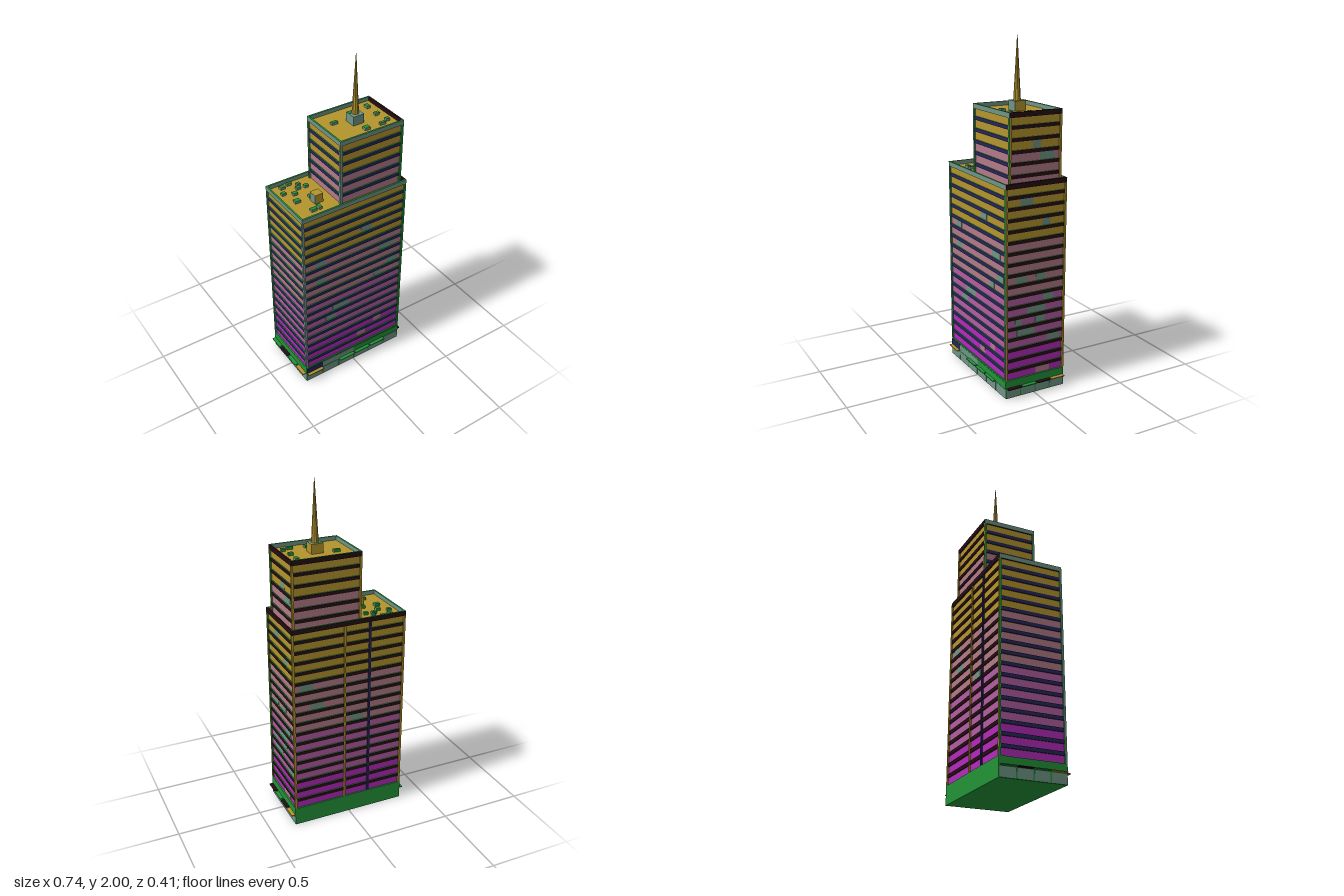
import * as THREE from 'three';

const mat = (name, color) => Object.assign(new THREE.MeshStandardMaterial({ color }), { name });
const gold = mat('gold', 0xb3942d);
const magenta = mat('magenta', 0xb22bba);
const orchid = mat('orchid', 0xb25ca2);
const rose = mat('rose', 0xb27a87);
const teal = mat('teal', 0x6f9586);
const green = mat('green', 0x239238);
const navy = mat('navy', 0x25255a);
const dark = mat('dark', 0x240d12);

// Box given by its limits on each axis
function box(parent, name, material, x0, x1, y0, y1, z0, z1) {
  const mesh = new THREE.Mesh(new THREE.BoxGeometry(x1 - x0, y1 - y0, z1 - z0), material);
  mesh.position.set((x0 + x1) / 2, (y0 + y1) / 2, (z0 + z1) / 2);
  mesh.name = name;
  parent.add(mesh);
  return mesh;
}

// Face order: +x, -x, +y, -y, +z, -z
const ledgeMats = [dark, navy, green, dark, navy, dark];
const FLOOR = 0.0628;
const INSET = 0.009;
const DECK = 0.02;

// One tower block: glass floors, ledges, corner posts, deck and parapet
function tower(name, x0, x1, z0, z1, y0, y1, glassOf, floors) {
  const g = new THREE.Group();
  g.name = name;
  const h = (y1 - y0) / floors;
  for (let i = 0; i < floors; i++) {
    const y = y0 + i * h;
    const top = i === floors - 1 ? y1 - DECK : y + h;
    box(g, 'floorGlass', glassOf(i), x0 + INSET, x1 - INSET, y, top, z0 + INSET, z1 - INSET);
    if (i < floors - 1) {
      box(g, 'floorLedge', ledgeMats, x0 + 0.003, x1 - 0.003, y + h - 0.021, y + h, z0 + 0.003, z1 - 0.003);
    }
  }
  // Corner posts
  const w = 0.012;
  for (const [px, pz, m] of [
    [x0, z0, [gold, green, green, dark, teal, gold]],
    [x1 - w, z0, gold],
    [x0, z1 - w, [green, teal, green, dark, teal, green]],
    [x1 - w, z1 - w, [gold, green, green, dark, green, green]],
  ]) box(g, 'cornerPost', m, px, px + w, y0, y1 - 0.024, pz, pz + w);

  // Roof deck
  box(g, 'roofDeck', gold, x0 + INSET, x1 - INSET, y1 - DECK - 0.003, y1 - DECK, z0 + INSET, z1 - INSET);
  // Parapet walls around the deck
  const t = 0.01, b = y1 - 0.024, c = y1 + 0.004;
  box(g, 'parapetFront', [dark, teal, green, dark, teal, teal], x0, x1, b, c, z1 - t, z1);
  box(g, 'parapetBack', [dark, teal, green, dark, teal, dark], x0, x1, b, c, z0, z0 + t);
  box(g, 'parapetRight', [teal, teal, green, dark, teal, dark], x0, x0 + t, b, c, z0 + t, z1 - t);
  box(g, 'parapetLeft', [dark, dark, dark, dark, teal, dark], x1 - t, x1, b, c, z0 + t, z1 - t);
  return g;
}

// Contrasting panes on the front (axis x) or left side (axis z)
function panes(parent, list, axis, face, y0, h) {
  for (const [a, floor, width, m = teal] of list) {
    const y = y0 + floor * h, p = a - width / 2, q = a + width / 2;
    if (axis === 'x') box(parent, 'pane', m, p, q, y + 0.002, y + h - 0.021, face, face + 0.002);
    else box(parent, 'pane', m, face - 0.001, face + 0.001, y + 0.002, y + h - 0.021, p, q);
  }
}

// Small rooftop units as [x, z, width, depth]
function roofUnits(parent, list, y) {
  for (const [x, z, w, d] of list) {
    box(parent, 'roofUnit', [teal, teal, green, green, teal, green],
      x - w / 2, x + w / 2, y, y + 0.016, z - d / 2, z + d / 2);
  }
}

export function createModel() {
  const model = new THREE.Group();
  model.name = 'skyscraper';
  const X = 0.347, ZB = -0.2, ZF = 0.185, Y0 = 0.11, Y1 = 1.24, Y2 = 1.617;

  // Main and upper towers
  const mainGlass = (i) => (i < 3 ? magenta : i < 8 ? orchid : i < 13 ? rose : gold);
  const main = tower('mainTower', -X, X, ZB, ZF, Y0, Y1, mainGlass, 18);
  const upper = tower('upperTower', -0.082, 0.33, -0.172, 0.155, Y1 - DECK, Y2, (i) => (i < 3 ? rose : gold), 6);
  model.add(main, upper);

  // Odd-coloured panes
  panes(main, [[0.08, 14, 0.07], [-0.23, 12, 0.06], [0.225, 11, 0.09], [-0.23, 10, 0.06],
    [0.27, 9, 0.08], [0.175, 8, 0.05], [-0.09, 6, 0.12], [-0.165, 5, 0.07],
    [0.18, 2, 0.055, rose], [0.06, 1, 0.06, rose]], 'x', ZF - INSET, Y0, FLOOR);
  panes(main, [[0.05, 16, 0.08], [-0.075, 14, 0.05], [0.085, 9, 0.07], [-0.04, 9, 0.06],
    [-0.095, 7, 0.07], [-0.015, 6, 0.12], [0.1, 5, 0.04], [-0.04, 5, 0.06], [0.05, 4, 0.12],
    [-0.13, 3, 0.08], [-0.06, 0, 0.09, rose]], 'z', X - INSET, Y0, FLOOR);
  const uh = (Y2 - Y1 + DECK) / 6;
  panes(upper, [[-0.02, 3, 0.05], [-0.085, 2, 0.09]], 'z', 0.33 - INSET, Y1 - DECK, uh);
  for (const [x, floor] of [[0.26, 12], [0.2, 10], [-0.05, 8]]) {
    const y = Y0 + floor * FLOOR;
    box(main, 'backPane', teal, x - 0.04, x + 0.04, y + 0.002, y + 0.041, ZB + INSET - 0.002, ZB + INSET);
  }

  // Vertical strips on the back
  box(main, 'backStrip', gold, 0.024, 0.034, Y0, Y1 - 0.024, ZB, ZB + INSET);
  box(main, 'backStrip', navy, -0.132, -0.12, Y0, Y1 - 0.024, ZB, ZB + INSET);

  // Ground floor: green core, coloured front fascia, shop windows and dividers
  const base = new THREE.Group();
  base.name = 'groundFloor';
  model.add(base);
  box(base, 'baseBlock', green, -X, X, 0, Y0, ZB, ZF - 0.002);
  for (const [x0, x1, m] of [[-X, -0.23, navy], [-0.23, 0, teal], [0, X, green]]) {
    box(base, 'frontFascia', m, x0, x1, 0.062, Y0 - 0.008, ZF - 0.002, ZF);
  }
  const bay = (2 * X) / 6, sideBay = (ZF - ZB) / 4;
  for (let i = 0; i < 6; i++) {
    const x = -X + i * bay;
    box(base, 'shopWindow', teal, x + 0.004, x + bay - 0.004, 0.003, 0.058, ZF - 0.002, ZF);
  }
  for (const s of [-1, 1]) {
    for (let i = 0; i < 4; i++) {
      const z = ZB + i * sideBay;
      box(base, 'sideShopWindow', teal, s * X - 0.001, s * X + 0.001, 0.003, 0.058, z + 0.004, z + sideBay - 0.004);
    }
  }

  // Awnings
  for (const [i, m] of [[0, gold], [2, green], [3, green], [4, green]]) {
    const x = -X + i * bay;
    box(base, 'frontAwning', m, x + 0.006, x + bay - 0.004, 0.06, 0.065, ZF, 0.205);
  }
  const sideColours = { '1': [gold, dark, green, dark], '-1': [green, dark, green, gold] };
  for (const s of [-1, 1]) {
    sideColours[s].forEach((m, i) => {
      const z = ZB + 0.005 + i * 0.095;
      box(base, 'sideAwning', m, s > 0 ? X : -0.37, s > 0 ? 0.37 : -X, 0.06, 0.065, z, z + 0.086);
    });
  }

  // Rooftop units and penthouse
  roofUnits(main, [[-0.266, -0.157, 0.03, 0.024], [-0.219, -0.167, 0.03, 0.016], [-0.175, -0.137, 0.022, 0.018],
    [-0.291, -0.1, 0.026, 0.02], [-0.192, -0.106, 0.028, 0.02], [-0.145, -0.1, 0.026, 0.02],
    [-0.236, -0.068, 0.028, 0.022], [-0.264, 0, 0.033, 0.026], [-0.177, -0.005, 0.02, 0.018],
    [-0.23, 0.115, 0.036, 0.023], [-0.189, 0.11, 0.02, 0.034]], Y1 - DECK);
  box(main, 'penthouse', [gold, teal, gold, dark, gold, gold], -0.193, -0.139, Y1 - DECK, 1.275, 0.02, 0.071);
  roofUnits(upper, [[0.015, -0.052, 0.038, 0.018], [0.27, -0.102, 0.022, 0.03], [0.266, -0.008, 0.028, 0.02],
    [0.278, 0.073, 0.022, 0.02], [0.232, 0.093, 0.037, 0.016], [0.131, 0.087, 0.032, 0.028]], Y2 - DECK);

  // Spire on its plinth
  box(upper, 'spirePlinth', [gold, teal, teal, dark, teal, gold], 0.089, 0.159, Y2 - DECK, 1.652, -0.045, 0.024);
  box(upper, 'plinthPatch', green, 0.089, 0.115, 1.652, 1.654, -0.043, -0.018);
  const spireMat = gold.clone();
  spireMat.name = 'spireGold';
  spireMat.flatShading = true;
  const spire = new THREE.Mesh(new THREE.CylinderGeometry(0.0015, 0.021, 0.348, 10), spireMat);
  spire.position.set(0.124, 1.826, -0.01);
  spire.name = 'spire';
  upper.add(spire);
  return model;
}
